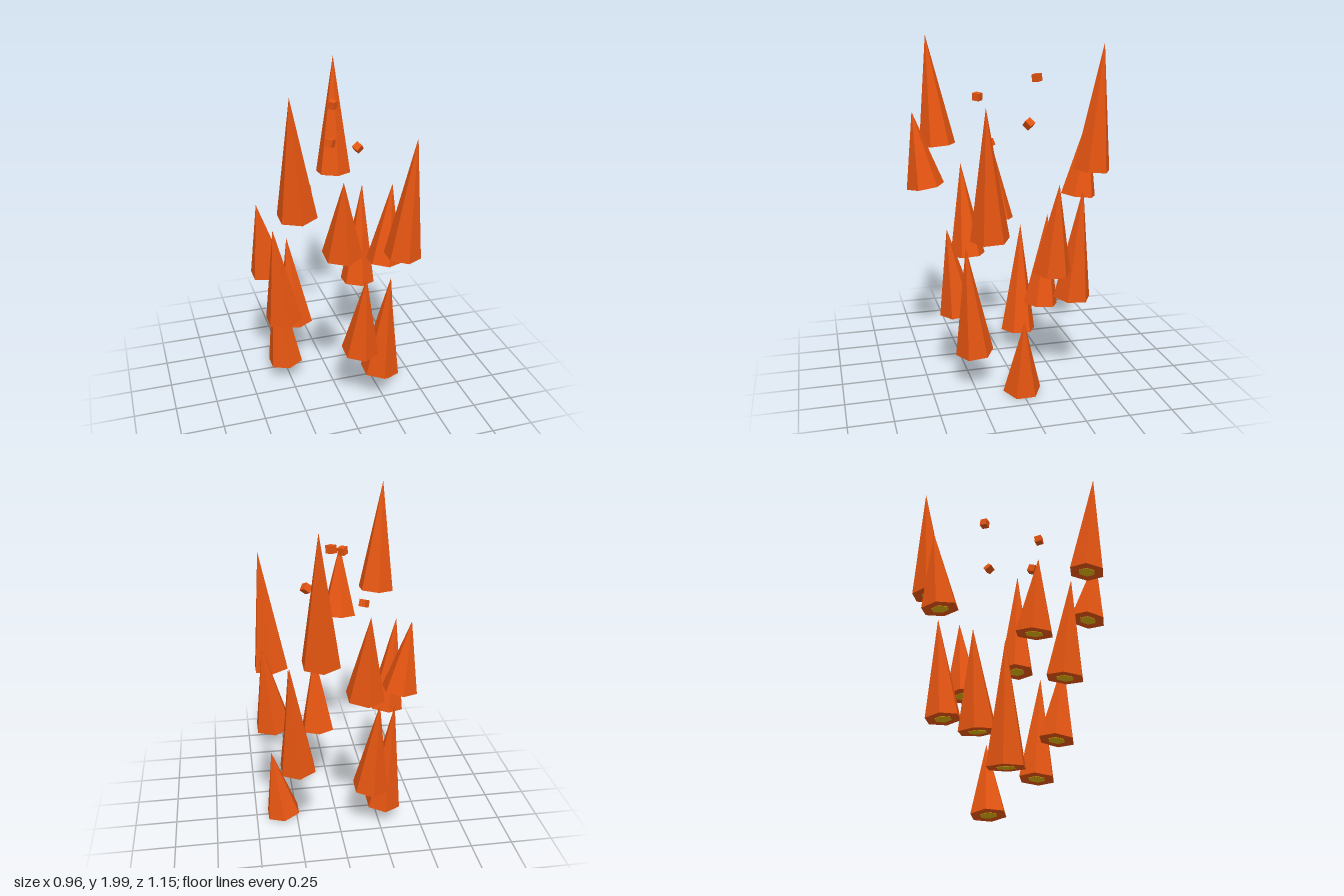
import * as THREE from 'three';

export function createModel() {
  const model = new THREE.Group();
  model.name = 'floatingSpikes';

  const orange = new THREE.MeshStandardMaterial({ color: 0xe65511, flatShading: true });
  orange.name = 'burnt orange';
  const yellow = new THREE.MeshStandardMaterial({ color: 0xe0b010, flatShading: true });
  yellow.name = 'amber yellow';

  const RADIUS = 0.11;
  const up = new THREE.Vector3(0, 1, 0);

  // Six-sided spike leaning from its base centre to its tip, with an amber core under it
  function addSpike(base, tip) {
    const from = new THREE.Vector3(...base);
    const axis = new THREE.Vector3(...tip).sub(from);
    const height = axis.length();

    const spike = new THREE.Group();
    spike.name = 'spike';
    spike.position.copy(from);
    spike.quaternion.setFromUnitVectors(up, axis.normalize());

    const body = new THREE.Mesh(
      new THREE.ConeGeometry(RADIUS, height, 6).translate(0, height / 2, 0), orange);
    body.name = 'spikeBody';

    const core = new THREE.Mesh(new THREE.CylinderGeometry(0.052, 0.052, 0.004, 6), yellow);
    core.name = 'spikeCore';
    spike.add(body, core);
    model.add(spike);
  }

  // Spikes: base centre, tip
  const spikes = [
    [[-0.305, 1.35, 0.356], [-0.347, 1.995, 0.408]],
    [[0.142, 1.247, -0.465], [0.156, 1.963, -0.519]],
    [[0.363, 0.94, 0.187], [0.416, 1.658, 0.217]],
    [[0.38, 0.733, -0.158], [0.433, 1.238, -0.18]],
    [[-0.093, 1.15, 0.464], [-0.108, 1.58, 0.53]],
    [[-0.093, 1.045, -0.47], [-0.105, 1.52, -0.53]],
    [[-0.387, 0.843, -0.026], [-0.447, 1.275, -0.022]],
    [[-0.347, 0.632, 0.17], [-0.405, 1.21, 0.198]],
    [[-0.276, 0.123, -0.143], [-0.328, 0.81, -0.17]],
    [[-0.174, 0.328, -0.262], [-0.209, 0.9, -0.313]],
    [[0.069, 0.422, 0.312], [0.079, 0.93, 0.375]],
    [[0.213, 0.222, 0.247], [0.253, 0.868, 0.3]],
    [[0.262, 0.53, -0.318], [0.3, 1.18, -0.362]],
    [[0.332, 0.016, -0.004], [0.394, 0.45, 0]],
  ];
  for (const [base, tip] of spikes) addSpike(base, tip);

  // Small tumbling cubes: position, rotation
  const cubes = [
    [[0.045, 1.77, -0.162], [0.12, 0.75, 0]],
    [[-0.067, 1.66, 0.158], [0.1, 0.8, -0.2]],
    [[0.172, 1.53, -0.081], [0.5, 0.5, 0.5]],
    [[-0.179, 1.37, 0.062], [0.1, 0.8, 0.3]],
  ];
  const cubeGeometry = new THREE.BoxGeometry(0.043, 0.043, 0.043);
  for (const [position, rotation] of cubes) {
    const cube = new THREE.Mesh(cubeGeometry, orange);
    cube.name = 'smallCube';
    cube.position.set(...position);
    cube.rotation.set(...rotation);
    model.add(cube);
  }

  return model;
}
